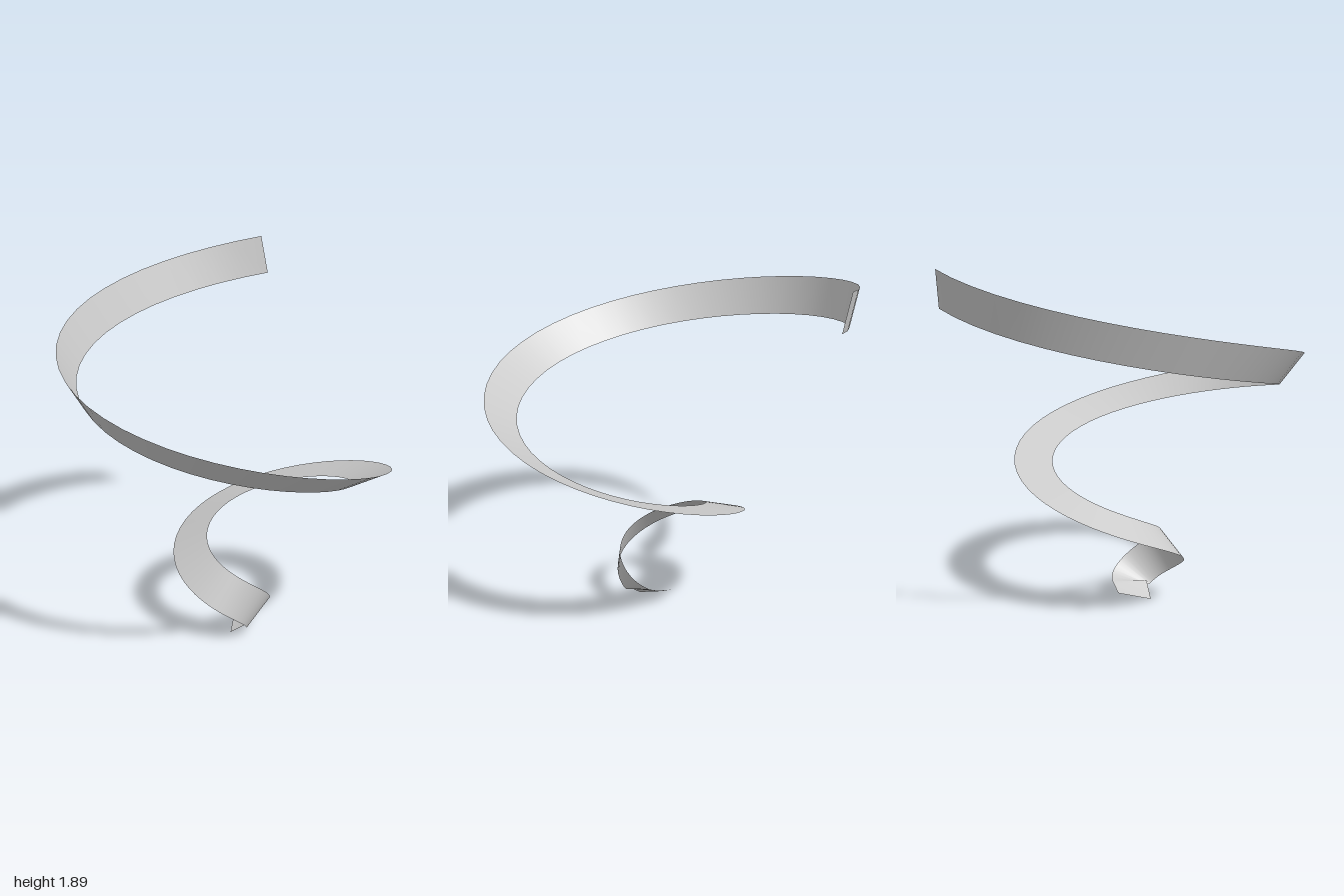
import * as THREE from 'three';

const WIDTH = 0.21, GROWTH = 0.1013, CENTRE_X = 0.13, CENTRE_Z = 0.12, END = 10.93, STEPS = 84;

// The two edge points of the ribbon at spiral angle t
function crossSection(t) {
  const u = t - 3.44;
  const lift = 0.06 * Math.max(0, 1 - t) ** 2;
  const mid = new THREE.Vector3(
    CENTRE_X + GROWTH * t * Math.cos(t),
    0.475 + 0.146 * u + 0.004 * u * u + lift,
    CENTRE_Z + GROWTH * t * Math.sin(t));
  const tangent = new THREE.Vector3(
    GROWTH * (Math.cos(t) - t * Math.sin(t)),
    0.146 + 0.008 * u,
    GROWTH * (Math.sin(t) + t * Math.cos(t))).normalize();
  const outward = new THREE.Vector3(tangent.z, 0, -tangent.x).normalize();
  const up = new THREE.Vector3().crossVectors(tangent, outward);
  if (up.y < 0) up.negate();
  // the band rolls quickly near the foot and slowly higher up
  const roll = THREE.MathUtils.degToRad(-27 + 18.6 * u - (u < 0 ? 7 : 0.57) * u * u);
  const half = outward.multiplyScalar(Math.cos(roll))
    .addScaledVector(up, Math.sin(roll)).multiplyScalar(WIDTH / 2);
  return [mid.clone().sub(half), mid.clone().add(half)];
}

export function createModel() {
  const group = new THREE.Group();
  group.name = 'spiralRibbon';

  // Short lead-in at the foot, then the widening, rising spiral
  const sections = [[new THREE.Vector3(0.04, 0.065, 0), new THREE.Vector3(0.04, 0, 0.2)]];
  for (let i = 0; i <= STEPS; i++) sections.push(crossSection(END * i / STEPS));

  const positions = [], indices = [];
  sections.forEach(([a, b], i) => {
    positions.push(...a.toArray(), ...b.toArray());
    if (i) {
      const p = 2 * (i - 1);
      indices.push(p, p + 1, p + 2, p + 1, p + 3, p + 2);
    }
  });
  const geometry = new THREE.BufferGeometry();
  geometry.setAttribute('position', new THREE.Float32BufferAttribute(positions, 3));
  geometry.setIndex(indices);
  geometry.computeVertexNormals();

  const ribbon = new THREE.Mesh(geometry,
    new THREE.MeshStandardMaterial({ color: 0xcccccc, side: THREE.DoubleSide }));
  ribbon.name = 'ribbon';
  group.add(ribbon);
  return group;
}
